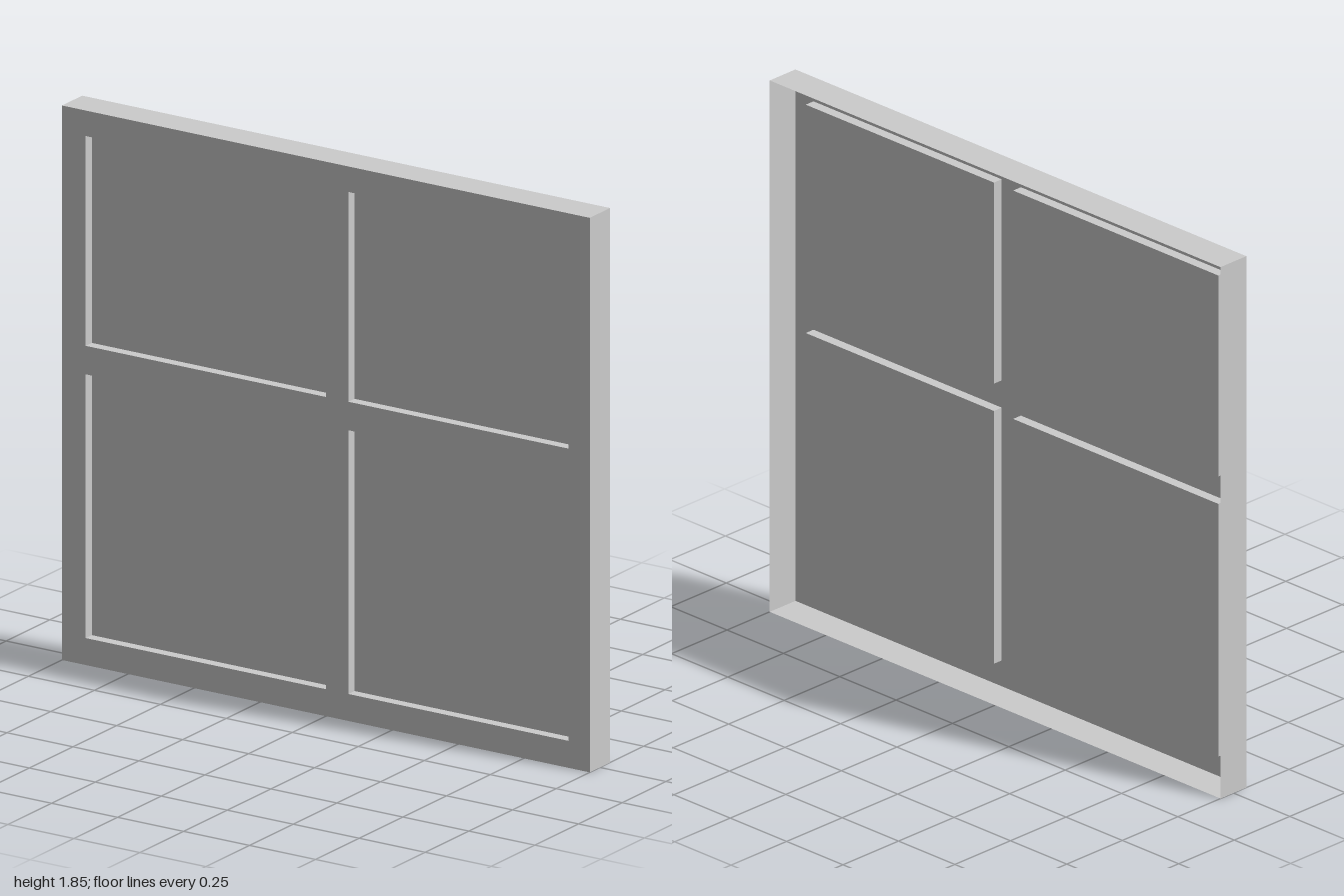
import * as THREE from 'three';

const FRONT = 0.058, BACK = -0.058, RECESS = 0.035;
const HEIGHT = 1.85;
const COLUMNS = [[-0.91, 0.0], [0.085, 0.92]];
const ROWS = [[0.09, 0.97], [1.065, 1.765]];

const material = new THREE.MeshStandardMaterial({
  color: 0xcccccc, flatShading: true, side: THREE.DoubleSide,
});

// Corners of a rectangle, counter-clockwise from the front
const corners = ([x0, x1], [y0, y1]) => [[x0, y0], [x1, y0], [x1, y1], [x0, y1]];
const toPoints = (loop) => loop.map(([x, y]) => new THREE.Vector2(x, y));

function addMesh(group, name, geometry) {
  const mesh = new THREE.Mesh(geometry, material);
  mesh.name = name;
  group.add(mesh);
  return mesh;
}

// Thin band of walls along a closed loop, between two depths
function wallBand(loop, front, back) {
  const positions = [];
  loop.forEach(([ax, ay], i) => {
    const [bx, by] = loop[(i + 1) % loop.length];
    positions.push(ax, ay, front, ax, ay, back, bx, by, back);
    positions.push(ax, ay, front, bx, by, back, bx, by, front);
  });
  const geometry = new THREE.BufferGeometry();
  geometry.setAttribute('position', new THREE.Float32BufferAttribute(positions, 3));
  geometry.computeVertexNormals();
  return geometry;
}

export function createModel() {
  const group = new THREE.Group();
  group.name = 'panelledWindow';

  // Open-backed outer rim
  const outline = corners([-1, 1], [0, HEIGHT]);
  addMesh(group, 'outerRim', wallBand(outline, FRONT, BACK));

  // Front frame with an opening for each pane
  const face = new THREE.Shape(toPoints(outline));
  for (const row of ROWS) {
    for (const column of COLUMNS) {
      const opening = corners(column, row);
      face.holes.push(new THREE.Path(toPoints(opening)));

      // Pane set back behind the frame, with its surrounding reveal
      const pane = new THREE.Group();
      pane.name = 'recessedPane';
      addMesh(pane, 'paneReveal', wallBand([...opening].reverse(), FRONT, FRONT - RECESS));
      addMesh(pane, 'paneSurface', new THREE.ShapeGeometry(new THREE.Shape(toPoints(opening))))
        .position.z = FRONT - RECESS;
      group.add(pane);
    }
  }
  addMesh(group, 'frontFrame', new THREE.ShapeGeometry(face)).position.z = FRONT;

  return group;
}
